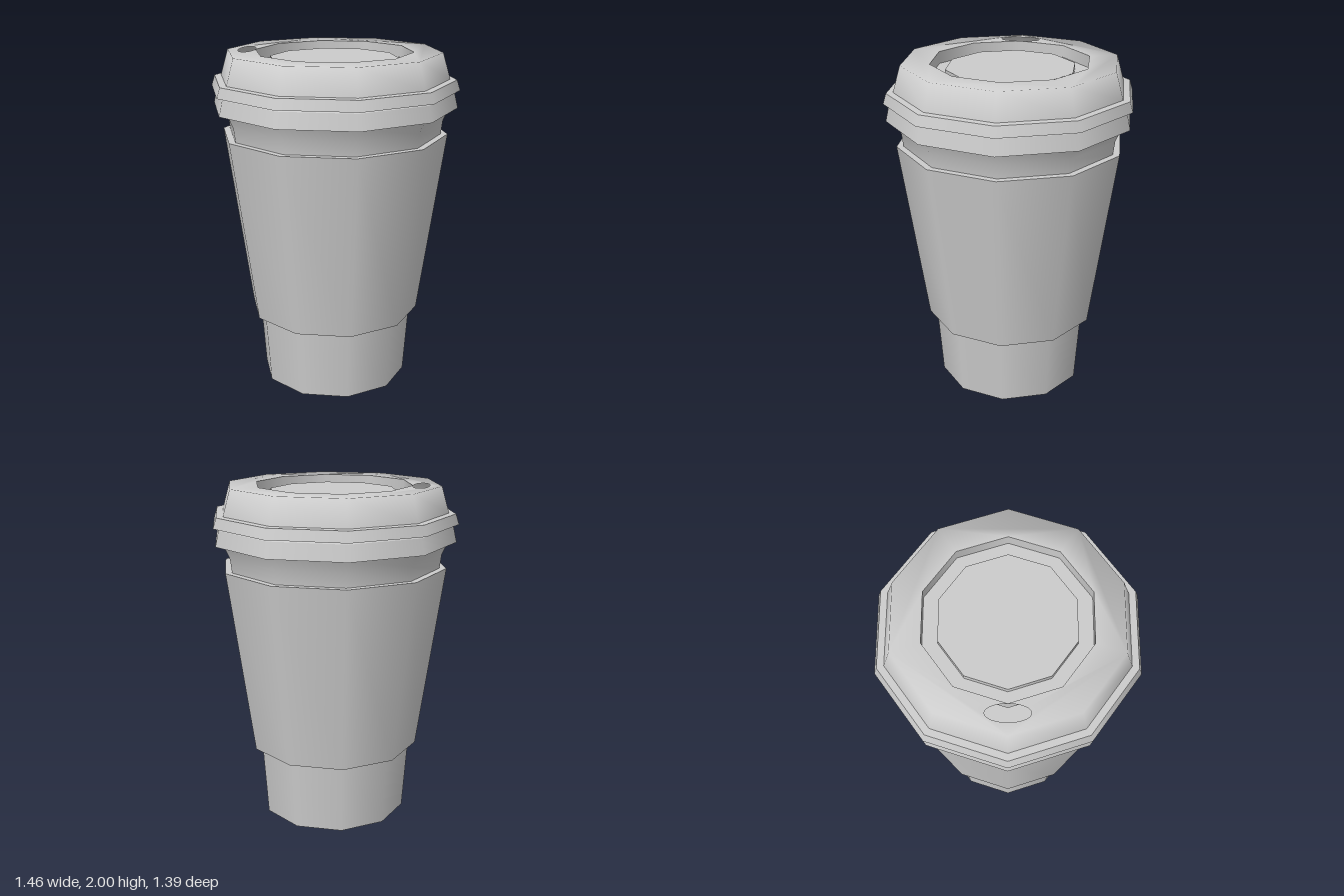
import * as THREE from 'three';
import { mergeGeometries } from 'three/addons/utils/BufferGeometryUtils.js';

const SIDES = 10;
const material = new THREE.MeshStandardMaterial({ color: 0xcccccc, side: THREE.DoubleSide });

// Ten-sided lathe with a corner on the x axis; normals are smooth along the profile.
function lathe(points) {
  const profile = points.map(([r, y]) => new THREE.Vector2(r, y));
  return new THREE.LatheGeometry(profile, SIDES, Math.PI / 2);
}

// One separate band per profile step, so every ring edge stays sharp.
function bands(points) {
  return mergeGeometries(points.slice(1).map((p, i) => lathe([points[i], p])));
}

function part(name, geometry) {
  const mesh = new THREE.Mesh(geometry, material);
  mesh.name = name;
  return mesh;
}

function decagon(radius, PathType) {
  const corners = [];
  for (let i = 0; i < SIDES; i++) {
    const a = (i / SIDES) * Math.PI * 2;
    corners.push(new THREE.Vector2(Math.cos(a) * radius, Math.sin(a) * radius));
  }
  return new PathType(corners);
}

// Sloping lid wall and flat top with the drinking hole, softly shaded over the shared edge.
function lidCrown() {
  const shape = decagon(0.626, THREE.Shape);
  const sipHole = new THREE.Path();
  sipHole.absellipse(-0.509, 0, 0.048, 0.116, 0, Math.PI * 2);
  shape.holes.push(decagon(0.46, THREE.Path), sipHole);
  const top = new THREE.ShapeGeometry(shape, 16);
  top.rotateX(-Math.PI / 2).translate(0, 2, 0);

  const crown = mergeGeometries([lathe([[0.67, 1.85], [0.626, 2]]), top]);
  const pos = crown.attributes.position;
  for (let i = 0; i < pos.count; i++) {
    const x = pos.getX(i), z = pos.getZ(i), r = Math.hypot(x, z);
    if (pos.getY(i) > 1.99 && r > 0.6) {
      crown.attributes.normal.setXYZ(i, (x / r) * 0.62, 0.785, (z / r) * 0.62);
    }
  }
  return crown;
}

export function createModel() {
  const model = new THREE.Group();
  model.name = 'takeawayCup';

  // Tapered cup with a closed base and a flared neck under the lid
  const cup = new THREE.Group();
  cup.name = 'cup';
  cup.add(
    part('cupBody', bands([[0, 0], [0.44, 0], [0.47, 0.43], [0.627, 1.53]])),
    part('cupNeck', lathe([[0.627, 1.53], [0.637, 1.61], [0.67, 1.685]]))
  );

  // Insulating sleeve around the middle
  const sleeve = part('sleeve', bands([[0.47, 0.43], [0.513, 0.43], [0.667, 1.53], [0.627, 1.53]]));

  // Lid: stepped rim, crown, and a sunken centre with a raised plate
  const lid = new THREE.Group();
  lid.name = 'lid';
  lid.add(
    part('lidRim', bands([
      [0.67, 1.685], [0.719, 1.685], [0.698, 1.775], [0.69, 1.785],
      [0.729, 1.787], [0.71, 1.847], [0.67, 1.85],
    ])),
    part('lidCrown', lidCrown()),
    part('lidRecess', bands([
      [0.46, 2], [0.46, 1.93], [0.375, 1.93], [0.375, 1.965], [0, 1.965],
    ]))
  );

  model.add(cup, sleeve, lid);
  return model;
}
